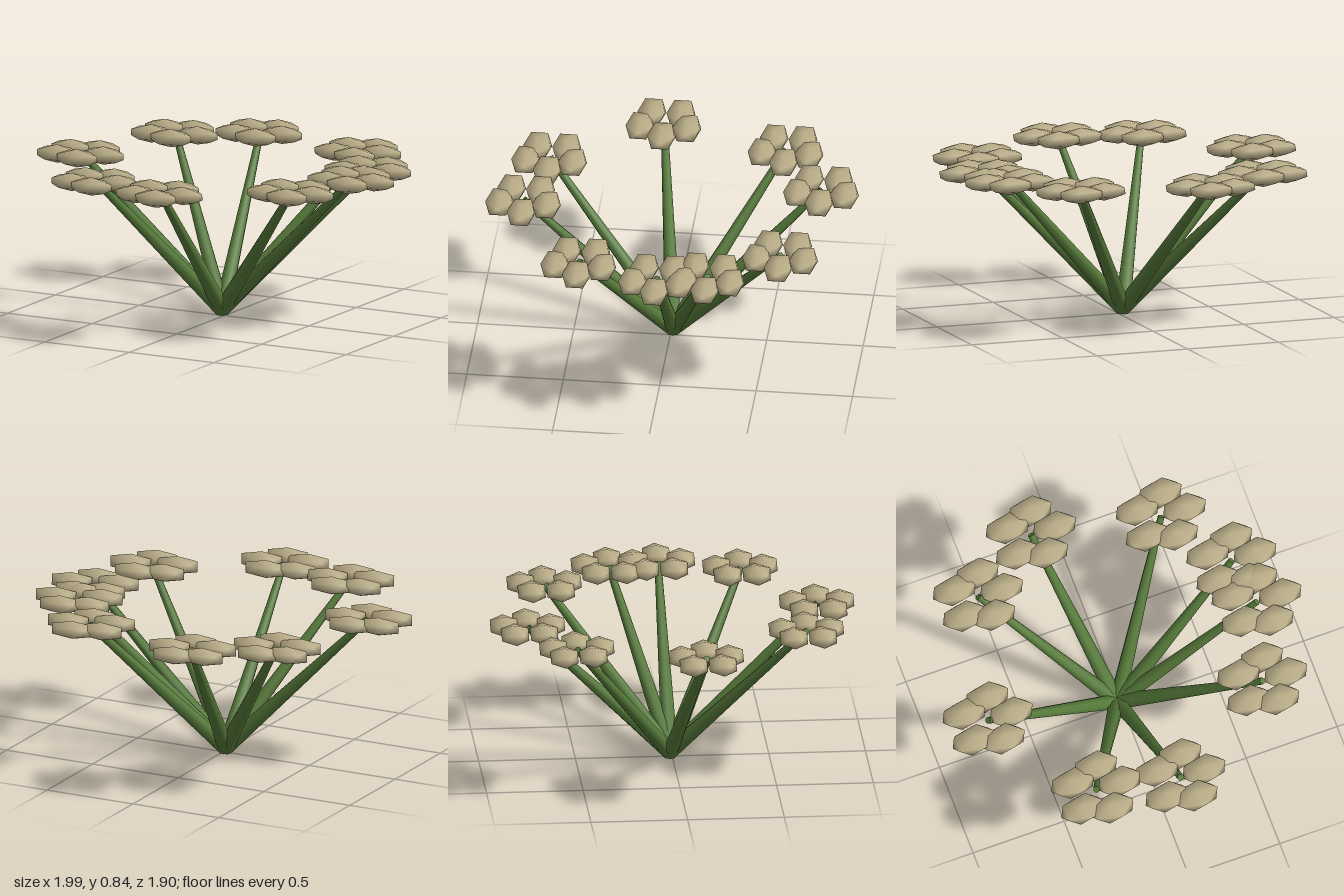
import * as THREE from 'three';

// Twenty-sided pebble: two poles and two staggered rings of five
function petalGeometry(sx, sy, sz) {
  const pos = [0, 1, 0, 0, -1, 0];
  const ringR = 2 / Math.sqrt(5), ringY = 1 / Math.sqrt(5);
  for (let i = 0; i < 5; i++) {
    const a = (i * 2 * Math.PI) / 5, b = a + Math.PI / 5;
    pos.push(ringR * Math.cos(a), ringY, -ringR * Math.sin(a)); // upper ring: 2 + 2i
    pos.push(ringR * Math.cos(b), -ringY, -ringR * Math.sin(b)); // lower ring: 3 + 2i
  }
  const index = [];
  for (let i = 0; i < 5; i++) {
    const n = (i + 1) % 5;
    const u = 2 + 2 * i, l = u + 1, un = 2 + 2 * n, ln = un + 1;
    index.push(0, u, un, u, l, un, l, ln, un, 1, ln, l);
  }
  const geo = new THREE.BufferGeometry();
  geo.setAttribute('position', new THREE.Float32BufferAttribute(pos, 3));
  geo.setIndex(index);
  geo.scale(sx, sy, sz);
  geo.computeVertexNormals();
  return geo;
}

export function createModel() {
  const group = new THREE.Group();
  group.name = 'flowerCluster';

  const stemGreen = new THREE.MeshStandardMaterial({ color: 0x567a3a });
  stemGreen.name = 'stemGreen';
  const petalTan = new THREE.MeshStandardMaterial({ color: 0xb8ab86 });
  petalTan.name = 'petalTan';

  const root = new THREE.Vector3(-0.02, 0.03, -0.013);
  const headY = 0.797;
  const petalRing = 0.128;
  const petalGeo = petalGeometry(0.131, 0.048, 0.083);

  // Flower head centres (x, z)
  const heads = [
    [-0.777, 0.117], [-0.589, -0.537], [-0.215, -0.762],
    [0.448, -0.623], [0.705, -0.27], [0.748, -0.013],
    [0.625, 0.404], [0.047, 0.754], [-0.383, 0.666],
  ];

  for (const [x, z] of heads) {
    const flower = new THREE.Group();
    flower.name = 'flower';

    // Tapered stem leaning out from the shared root
    const top = new THREE.Vector3(x, headY, z);
    const dir = top.clone().sub(root);
    const stem = new THREE.Mesh(new THREE.CylinderGeometry(0.018, 0.042, dir.length(), 8), stemGreen);
    stem.name = 'stem';
    stem.position.copy(root).add(top).multiplyScalar(0.5);
    stem.quaternion.setFromUnitVectors(new THREE.Vector3(0, 1, 0), dir.normalize());
    flower.add(stem);

    // Five petals in a ring, all lying the same way
    for (let i = 0; i < 5; i++) {
      const a = (i * 2 * Math.PI) / 5;
      const petal = new THREE.Mesh(petalGeo, petalTan);
      petal.name = 'petal';
      petal.position.set(x + petalRing * Math.cos(a), headY, z + petalRing * Math.sin(a));
      flower.add(petal);
    }
    group.add(flower);
  }
  return group;
}
